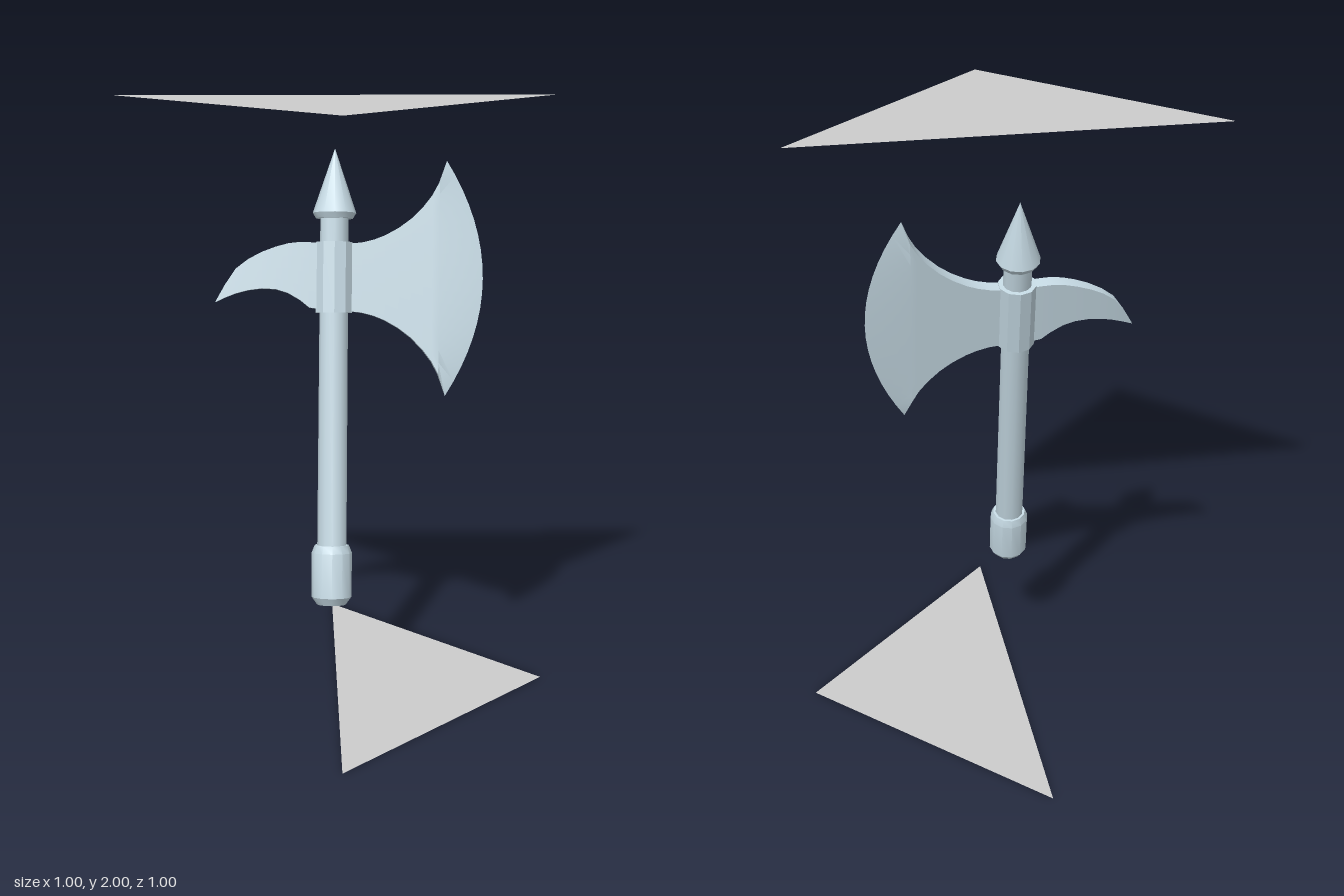
import * as THREE from 'three';
import { toCreasedNormals } from 'three/addons/utils/BufferGeometryUtils.js';

const steel = new THREE.MeshStandardMaterial({ color: 0xc4d8e2 });
const grey = new THREE.MeshStandardMaterial({ color: 0xcccccc, side: THREE.DoubleSide });

function mesh(name, geometry, material = steel) {
  const m = new THREE.Mesh(geometry, material);
  m.name = name;
  return m;
}

// Turned part: profile of [radius, height] from bottom to top
function turned(name, profile, sides = 12) {
  const g = new THREE.LatheGeometry(profile.map(([r, y]) => new THREE.Vector2(r, y)), sides);
  return mesh(name, toCreasedNormals(g, 0.6));
}

// Flat tapered part: columns [x, bottom, top, half thickness, outward bulge], x increasing
function plate(name, columns, rows = 12) {
  const position = [], index = [], ring = 2 * (rows + 1);
  columns.forEach(([x, lo, hi, w, bulge = 0], c) => {
    for (let k = 0; k < ring; k++) {
      const front = k <= rows;
      const t = (front ? k : ring - 1 - k) / rows;
      position.push(x + bulge * 4 * t * (1 - t), lo + (hi - lo) * t, front ? w : -w);
      if (c === 0) continue;
      const n = (k + 1) % ring, p = (c - 1) * ring, q = c * ring;
      index.push(p + k, q + k, p + n, q + k, q + n, p + n);
    }
  });
  const g = new THREE.BufferGeometry();
  g.setAttribute('position', new THREE.Float32BufferAttribute(position, 3));
  g.setIndex(index);
  return mesh(name, toCreasedNormals(g, 0.35));
}

// Horizontal triangular sheet from three [x, z] corners
function sheet(name, y, corners) {
  const g = new THREE.BufferGeometry();
  g.setAttribute('position', new THREE.Float32BufferAttribute(corners.flatMap(([x, z]) => [x, y, z]), 3));
  g.computeVertexNormals();
  return mesh(name, g, grey);
}

export function createModel() {
  const model = new THREE.Group();
  const axe = new THREE.Group();
  axe.name = 'axe';

  // Shaft parts, with the middle of the axe head at the local origin
  axe.add(turned('handle', [[0.048, -0.9], [0.046, 0.22]]));
  axe.add(turned('pommel', [[0, -1.07], [0.048, -1.07], [0.066, -1.045], [0.066, -0.9], [0.056, -0.875], [0.045, -0.875]]));
  axe.add(turned('collar', [[0.04, -0.115], [0.062, -0.115], [0.062, 0.115], [0.04, 0.115]], 10));
  axe.add(turned('spearPoint', [[0.035, 0.192], [0.06, 0.192], [0.071, 0.21], [0, 0.42]]));

  // Crescent blade: symmetric flare, then a bevel to the curved cutting edge
  const flare = [[0.03, 0.108], [0.09, 0.114], [0.13, 0.124], [0.165, 0.138], [0.21, 0.163],
    [0.25, 0.193], [0.29, 0.233], [0.32, 0.272], [0.342, 0.313]];
  const blade = flare.map(([x, h]) => [x, -h, h, 0.021]);
  blade.push([0.366, -0.384, 0.384, 0, 0.121]);
  axe.add(plate('blade', blade, 16));

  // Curved rear spike
  axe.add(plate('rearSpike', [
    [-0.386, -0.084, -0.082, 0.003], [-0.355, -0.069, -0.026, 0.008], [-0.32, -0.055, 0.026, 0.012],
    [-0.28, -0.044, 0.057, 0.015], [-0.235, -0.038, 0.081, 0.018], [-0.19, -0.04, 0.098, 0.02],
    [-0.15, -0.052, 0.109, 0.021], [-0.11, -0.075, 0.114, 0.022], [-0.08, -0.099, 0.113, 0.022],
    [-0.03, -0.106, 0.11, 0.022]], 4));

  // Lean the axe, with its blade along the diagonal
  const up = new THREE.Vector3(0.174, 1, -0.154).normalize();
  const out = new THREE.Vector3(1, -0.02, 1).normalize();
  const side = new THREE.Vector3().crossVectors(out, up).normalize();
  out.crossVectors(up, side);
  axe.quaternion.setFromRotationMatrix(new THREE.Matrix4().makeBasis(out, up, side));
  axe.position.set(0.002, 1.41, -0.014);
  model.add(axe);

  // Triangular sheets below and above
  model.add(sheet('lowerSheet', 0, [[-0.5, 0.5], [0.5, 0.5], [0.5, -0.5]]));
  model.add(sheet('upperSheet', 2, [[-0.5, -0.5], [-0.5, 0.5], [0.5, 0.5]]));
  return model;
}
